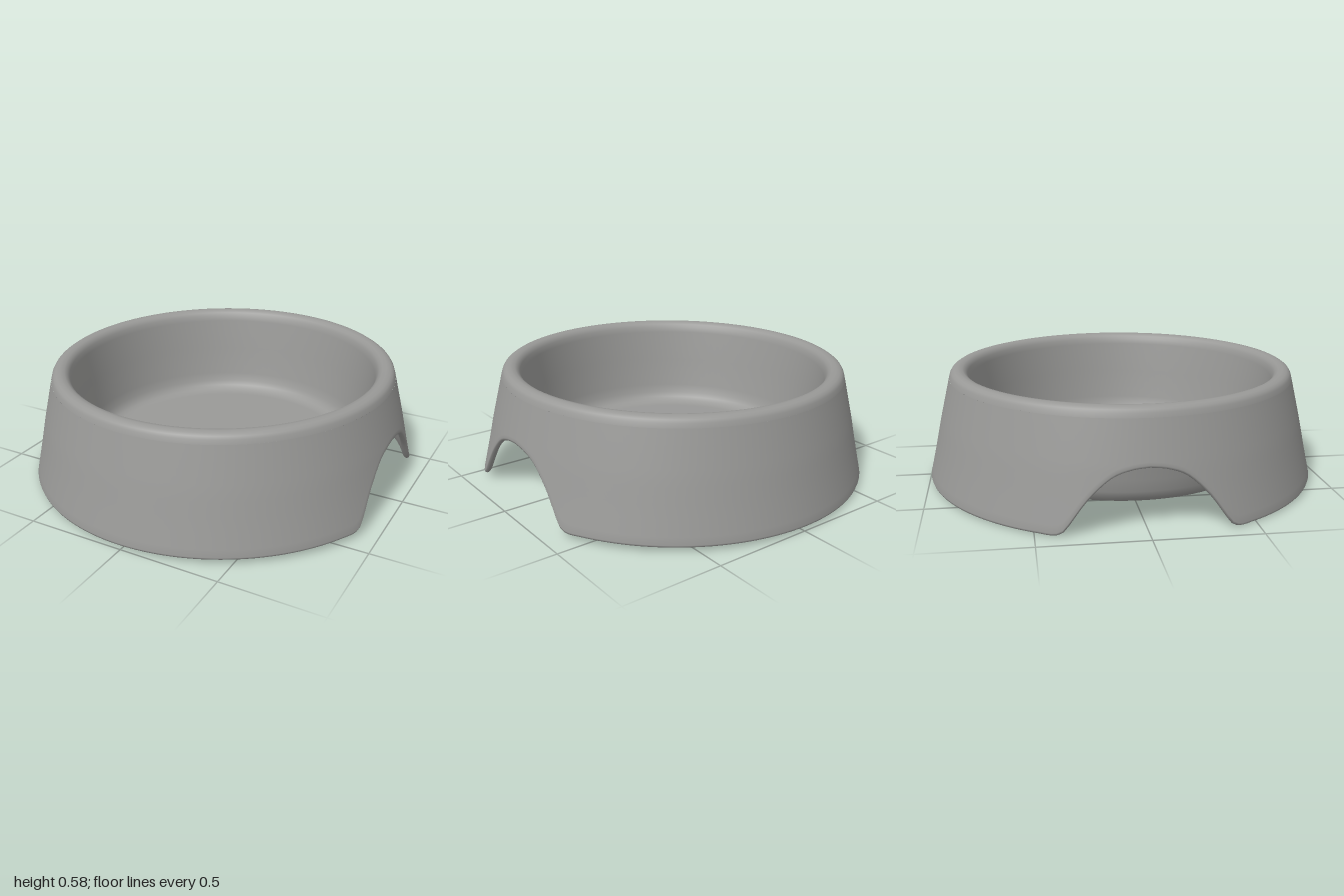
import * as THREE from 'three';

const SEG = 240;

// Linear lookup through [input, output] pairs
function lookup(table, v) {
  for (let i = 1; i < table.length; i++) {
    const [a, p] = table[i - 1], [b, q] = table[i];
    if (v <= b) return p + (q - p) * Math.max(0, (v - a) / (b - a));
  }
  return table[table.length - 1][1];
}

// Outer radius of the skirt by height
const outerRadius = (y) => lookup([[0.01, 1.0], [0.03, 0.996], [0.1, 0.98], [0.18, 0.962], [0.32, 0.932], [0.53, 0.882]], y);

// Lower edge of the skirt by angle away from the x axis: an arched hand grip on each side
const gripCurve = new THREE.SplineCurve([
  [0, 0.318], [0.086, 0.308], [0.182, 0.272], [0.285, 0.18], [0.365, 0.07], [0.388, 0.038], [0.43, 0.018], [0.5, 0.018],
].map(([a, y]) => new THREE.Vector2(a, y)));
const gripTable = gripCurve.getPoints(70).map((p) => [p.x, p.y]);
const lowerEdge = (phi) => lookup(gripTable, Math.asin(Math.min(1, Math.abs(Math.cos(phi)))));

// Cross-section of the skirt at one angle: down the inside, round the edge, up the outside
function skirtSection(phi) {
  const b = lowerEdge(phi), pts = [];
  for (let i = 0; i <= 10; i++) {
    const y = 0.48 + (b + 0.02 - 0.48) * (i / 10);
    pts.push([outerRadius(y) - 0.032, y]);
  }
  const r = outerRadius(b);
  pts.push([r - 0.027, b + 0.006], [r - 0.017, b], [r - 0.006, b + 0.004]);
  for (let i = 0; i <= 14; i++) {
    const y = b + 0.014 + (0.53 - b - 0.014) * (i / 14);
    pts.push([outerRadius(y), y]);
  }
  return pts;
}

function skirtGeometry() {
  const pos = [], index = [];
  let rows = 0;
  for (let s = 0; s < SEG; s++) {
    const phi = (s / SEG) * Math.PI * 2;
    const section = skirtSection(phi);
    rows = section.length;
    for (const [r, y] of section) pos.push(r * Math.sin(phi), y, r * Math.cos(phi));
  }
  for (let s = 0; s < SEG; s++) {
    for (let j = 0; j < rows - 1; j++) {
      const a = s * rows + j, b = ((s + 1) % SEG) * rows + j;
      index.push(a, b, a + 1, b + 1, a + 1, b);
    }
  }
  const g = new THREE.BufferGeometry();
  g.setAttribute('position', new THREE.Float32BufferAttribute(pos, 3));
  g.setIndex(index);
  g.computeVertexNormals();
  return g;
}

const lathe = (pts) => new THREE.LatheGeometry(pts.map(([r, y]) => new THREE.Vector2(r, y)), 120);

export function createModel() {
  const grey = new THREE.MeshStandardMaterial({ color: 0x999997 });
  grey.name = 'grey plastic';
  const model = new THREE.Group();
  model.name = 'petBowl';
  const add = (name, geometry) => {
    const mesh = new THREE.Mesh(geometry, grey);
    mesh.name = name;
    model.add(mesh);
  };

  // Flared outer skirt with two grips
  add('skirt', skirtGeometry());

  // Rounded rim, sloping inner wall and floor
  add('rimAndBasin', lathe([
    [0.882, 0.53], [0.876, 0.551], [0.868, 0.564], [0.855, 0.573], [0.835, 0.578], [0.813, 0.574],
    [0.798, 0.564], [0.788, 0.548], [0.78, 0.52], [0.755, 0.36], [0.728, 0.2], [0.716, 0.155],
    [0.702, 0.13], [0.685, 0.113], [0.66, 0.103], [0.63, 0.1], [0, 0.1],
  ]));

  // Underside of the basin, closed against the skirt near the rim
  add('underside', lathe([
    [0, 0.068], [0.63, 0.068], [0.67, 0.072], [0.705, 0.084], [0.728, 0.105], [0.742, 0.14],
    [0.752, 0.2], [0.775, 0.36], [0.785, 0.44], [0.8, 0.47], [0.825, 0.48], [0.863, 0.48],
  ]));

  // The bowl sits very slightly tilted
  model.rotation.z = 0.0137;
  const root = new THREE.Group();
  root.name = 'bowl';
  root.add(model);
  return root;
}
